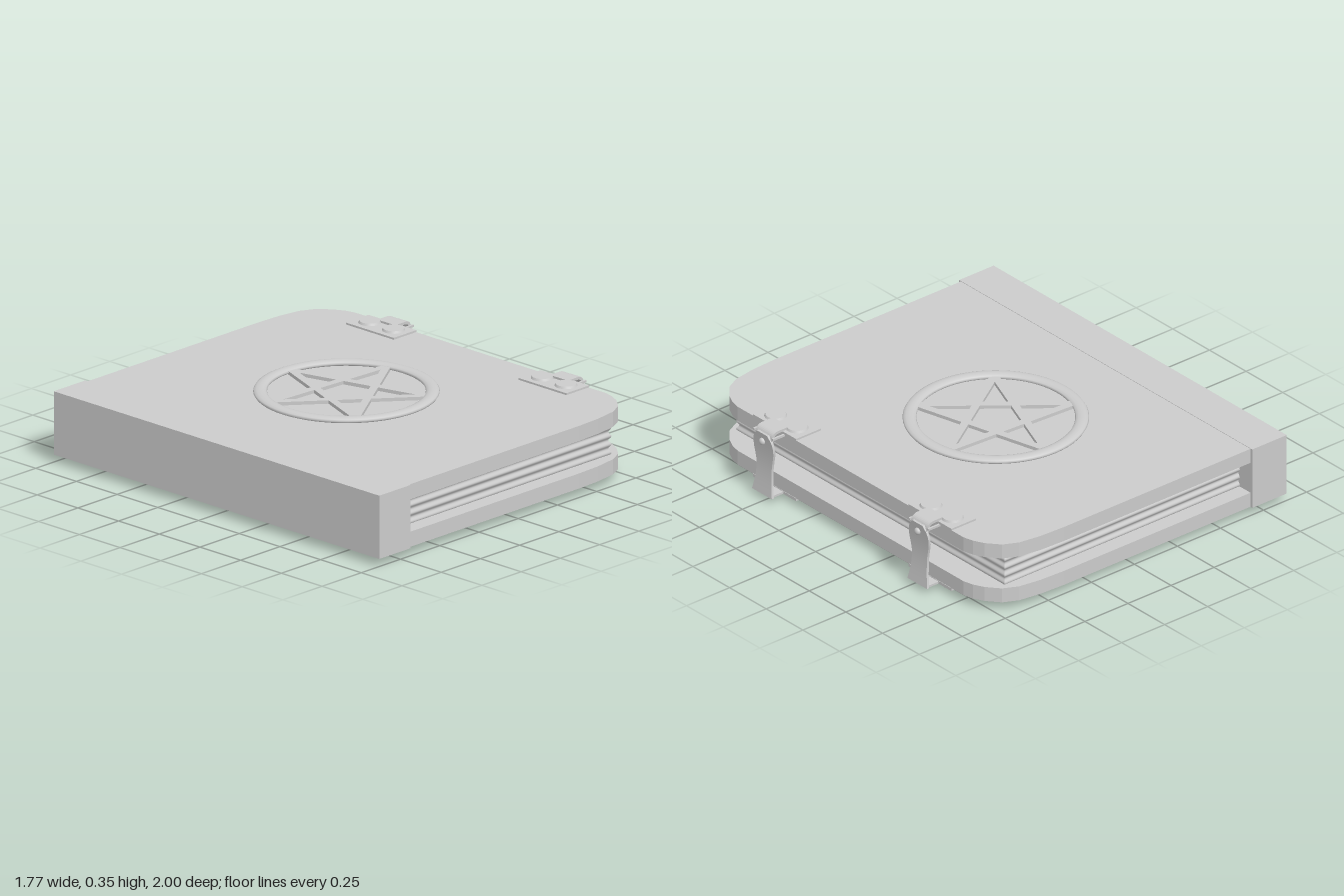
import * as THREE from 'three';

const material = new THREE.MeshStandardMaterial({ color: 0xcccccc });

function add(parent, name, geometry, x = 0, y = 0, z = 0) {
  const mesh = new THREE.Mesh(geometry, material);
  mesh.name = name;
  mesh.position.set(x, y, z);
  parent.add(mesh);
  return mesh;
}

// Box given by its lower and upper limits
function slab(parent, name, x0, x1, y0, y1, z0, z1) {
  return add(parent, name, new THREE.BoxGeometry(x1 - x0, y1 - y0, z1 - z0),
    (x0 + x1) / 2, (y0 + y1) / 2, (z0 + z1) / 2);
}

// Board with rounded corners on the opening side
function coverGeometry() {
  const corner = [[0.4, 0.988], [0.53, 0.982], [0.64, 0.965], [0.71, 0.93], [0.76, 0.87], [0.785, 0.82], [0.797, 0.77]];
  const half = [[-0.69, 0.988], ...corner];
  const outline = [...half, ...half.map(([x, z]) => [x, -z]).reverse()];
  const shape = new THREE.Shape(outline.map(([x, z]) => new THREE.Vector2(x, z)));
  const geometry = new THREE.ExtrudeGeometry(shape, { depth: 0.071, bevelEnabled: false });
  return geometry.rotateX(-Math.PI / 2);
}

// Page block whose sides ripple gently with height
function pagesGeometry() {
  const geometry = new THREE.BoxGeometry(1.375, 0.157, 1.82, 1, 32, 1);
  const p = geometry.attributes.position;
  for (let i = 0; i < p.count; i++) {
    const wave = 0.005 * Math.sin((p.getY(i) / 0.157 + 0.5) * Math.PI * 8);
    p.setX(i, p.getX(i) + (p.getX(i) > 0 ? wave : 0));
    p.setZ(i, p.getZ(i) + Math.sign(p.getZ(i)) * wave);
  }
  geometry.computeVertexNormals();
  return geometry;
}

// Ring with five crossing bars
function emblem() {
  const group = new THREE.Group();
  group.name = 'coverEmblem';
  group.position.set(0, 0.33, -0.055);
  const ring = add(group, 'emblemRing', new THREE.TorusGeometry(0.382, 0.031, 12, 64).rotateX(Math.PI / 2), 0, 0.011, 0);
  ring.scale.y = 0.45;
  const tips = [0, 1, 2, 3, 4].map((i) => {
    const a = i * Math.PI * 0.4 + 0.06;
    return new THREE.Vector2(Math.sin(a) * 0.365, -Math.cos(a) * 0.365);
  });
  tips.forEach((a, i) => {
    const b = tips[(i + 2) % 5];
    const bar = add(group, 'starBar', new THREE.BoxGeometry(a.distanceTo(b), 0.018, 0.036),
      (a.x + b.x) / 2, 0.007, (a.y + b.y) / 2);
    bar.rotation.y = -Math.atan2(b.y - a.y, b.x - a.x);
  });
  return group;
}

// Hanging strap: rounded head, narrow waist, flared foot, bowed inward
function strapGeometry() {
  const bottom = 0.025, top = 0.332;
  const geometry = new THREE.BoxGeometry(0.012, 1, 1, 1, 24, 1);
  const p = geometry.attributes.position;
  const widths = [0.135, 0.122, 0.11, 0.104, 0.102, 0.106, 0.118, 0.132, 0.134, 0.12, 0.07];
  for (let i = 0; i < p.count; i++) {
    const t = p.getY(i) + 0.5;
    const k = Math.min(9, Math.floor(t * 10));
    const width = THREE.MathUtils.lerp(widths[k], widths[k + 1], t * 10 - k);
    const bow = 0.866 - 0.013 * Math.sin(Math.PI * t);
    p.setXYZ(i, p.getX(i) + bow, bottom + t * (top - bottom), p.getZ(i) * width);
  }
  geometry.computeVertexNormals();
  return geometry;
}

// Bent tongue leading from the upper plate over the edge
function tongueGeometry() {
  const s = new THREE.Shape();
  s.moveTo(0.76, 0.336);
  s.lineTo(0.76, 0.349);
  s.lineTo(0.825, 0.349);
  s.quadraticCurveTo(0.862, 0.347, 0.864, 0.305);
  s.lineTo(0.853, 0.305);
  s.quadraticCurveTo(0.85, 0.336, 0.82, 0.337);
  s.closePath();
  return new THREE.ExtrudeGeometry(s, { depth: 0.11, bevelEnabled: false, curveSegments: 8 }).translate(0, 0, -0.055);
}

function clasp(z) {
  const group = new THREE.Group();
  group.name = 'clasp';
  group.position.z = z;
  slab(group, 'upperPlate', 0.655, 0.799, 0.328, 0.339, -0.147, 0.147);
  slab(group, 'lowerPlate', 0.655, 0.799, 0.023, 0.037, -0.147, 0.147);
  for (const dz of [-0.073, 0.073]) {
    add(group, 'upperRivet', new THREE.CylinderGeometry(0.046, 0.052, 0.012, 28), 0.73, 0.343, dz);
    add(group, 'lowerRivet', new THREE.CylinderGeometry(0.052, 0.043, 0.026, 28), 0.73, 0.013, dz);
  }
  add(group, 'tongue', tongueGeometry());
  slab(group, 'lowerHook', 0.78, 0.87, 0.024, 0.034, -0.06, 0.06);
  add(group, 'strap', strapGeometry());
  const pin = add(group, 'strapPin', new THREE.SphereGeometry(0.017, 16, 10), 0.871, 0.29, 0);
  pin.scale.x = 0.75;
  // Thin side bars that carry the hinge
  for (const side of [-1, 1]) {
    slab(group, 'hingeBar', 0.79, 0.865, 0.318, 0.328, side * 0.064 - 0.005, side * 0.064 + 0.005);
  }
  return group;
}

export function createModel() {
  const book = new THREE.Group();
  book.name = 'book';
  slab(book, 'spine', -0.885, -0.685, 0.035, 0.332, -1, 1);
  add(book, 'lowerCover', coverGeometry(), 0, 0.036, 0);
  add(book, 'upperCover', coverGeometry(), 0, 0.259, 0);
  add(book, 'pages', pagesGeometry(), -0.01, 0.183, 0);
  book.add(emblem());
  // The two clasps on the opening edge
  for (const z of [-0.543, 0.517]) book.add(clasp(z));
  return book;
}
